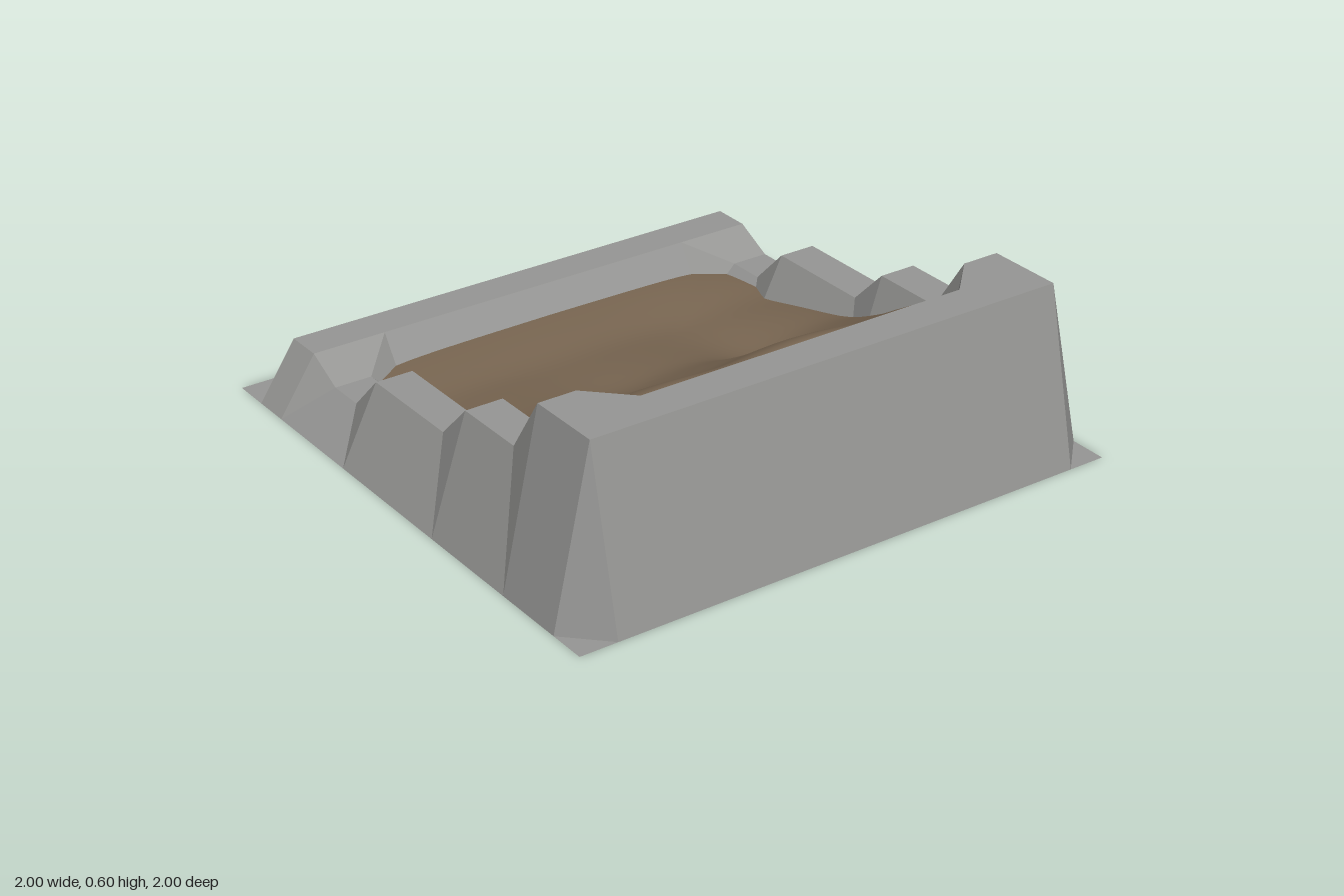
import * as THREE from 'three';

const CELLS = 15;
const STEP = 2 / CELLS;

// Rim heights along x for the stepped front and back walls
const RIM = [0, 0.2, 0.2, 0.133, 0.133, 0.267, 0.267, 0.267, 0.267, 0.4, 0.4, 0.4, 0.6, 0.6, 0.6, 0];

// Soil slope: [x, height]
const SLOPE = [[-0.9, 0.11], [-0.35, 0.125], [0.07, 0.225], [0.2, 0.295], [0.37, 0.39], [0.54, 0.51], [0.72, 0.66], [0.9, 0.72]];
const SOIL_RADIUS = 0.9;

// Soft hollows across the slope: [x, z, depth]
const HOLLOWS = [[0.2, -0.35, 0.075], [0.3, 0.22, 0.035]];

// Height of the wall at a grid point: zero on the outer edge and inside the rim
function wallHeight(i, j) {
  const ring = Math.min(i, j, CELLS - i, CELLS - j);
  return ring === 1 || ring === 2 ? RIM[i] : 0;
}

function wallGeometry() {
  const positions = [];
  const point = (i, j) => [i * STEP - 1, wallHeight(i, j), j * STEP - 1];
  for (let i = 0; i < CELLS; i++) {
    for (let j = 0; j < CELLS; j++) {
      // Only the three outer rings of cells form the wall; the middle is open
      if (Math.min(i, j, CELLS - 1 - i, CELLS - 1 - j) > 2) continue;
      const a = point(i, j), b = point(i, j + 1), c = point(i + 1, j + 1), d = point(i + 1, j);
      // Fold each cell along its shorter diagonal
      const foldBD = Math.abs(b[1] - d[1]) < Math.abs(a[1] - c[1]);
      const faces = foldBD ? [a, b, d, b, c, d] : [a, b, c, a, c, d];
      for (const p of faces) positions.push(...p);
    }
  }
  const geometry = new THREE.BufferGeometry();
  geometry.setAttribute('position', new THREE.Float32BufferAttribute(positions, 3));
  geometry.computeVertexNormals();
  return geometry;
}

// Smoothly eased height of the soil slope at x
function slopeHeight(x) {
  let sum = 0, weight = 0;
  for (let k = -3; k <= 3; k++) {
    const s = THREE.MathUtils.clamp(x + k * 0.03, -0.9, 0.899);
    const n = SLOPE.findIndex((p) => p[0] > s);
    const [x0, y0] = SLOPE[n - 1], [x1, y1] = SLOPE[n];
    const w = 4 - Math.abs(k);
    sum += w * (y0 + (y1 - y0) * (s - x0) / (x1 - x0));
    weight += w;
  }
  return sum / weight;
}

// Sheet with rounded corners, falling steeply to near the ground under the walls
function soilGeometry() {
  const geometry = new THREE.PlaneGeometry(2, 2, 48, 48).rotateX(-Math.PI / 2);
  const pos = geometry.attributes.position;
  for (let n = 0; n < pos.count; n++) {
    const u = pos.getX(n), v = pos.getZ(n);
    const d = Math.min(1, Math.max(Math.abs(u), Math.abs(v)));
    const norm = Math.pow(Math.abs(u) ** 5 + Math.abs(v) ** 5, 0.2) || 1;
    const x = u * d / norm * SOIL_RADIUS, z = v * d / norm * SOIL_RADIUS;
    let y = slopeHeight(x);
    for (const [hx, hz, depth] of HOLLOWS) {
      y -= depth * Math.exp(-(((x - hx) / 0.4) ** 2) - ((z - hz) / 0.18) ** 2);
    }
    // The hem hangs lowest at the corners
    const hem = 0.07 - 0.03 * Math.min(Math.abs(u), Math.abs(v));
    pos.setXYZ(n, x, THREE.MathUtils.lerp(y, hem, d ** 8), z);
  }
  geometry.computeVertexNormals();
  return geometry;
}

export function createModel() {
  const stone = new THREE.MeshStandardMaterial({ color: 0x969694, side: THREE.DoubleSide, flatShading: true });
  stone.name = 'grey stone';
  const earth = new THREE.MeshStandardMaterial({ color: 0x7b6853, side: THREE.DoubleSide });
  earth.name = 'brown earth';

  const model = new THREE.Group();
  model.name = 'walledSoilBed';

  const wall = new THREE.Mesh(wallGeometry(), stone);
  wall.name = 'steppedWall';
  const soil = new THREE.Mesh(soilGeometry(), earth);
  soil.name = 'soil';
  model.add(wall, soil);
  return model;
}
